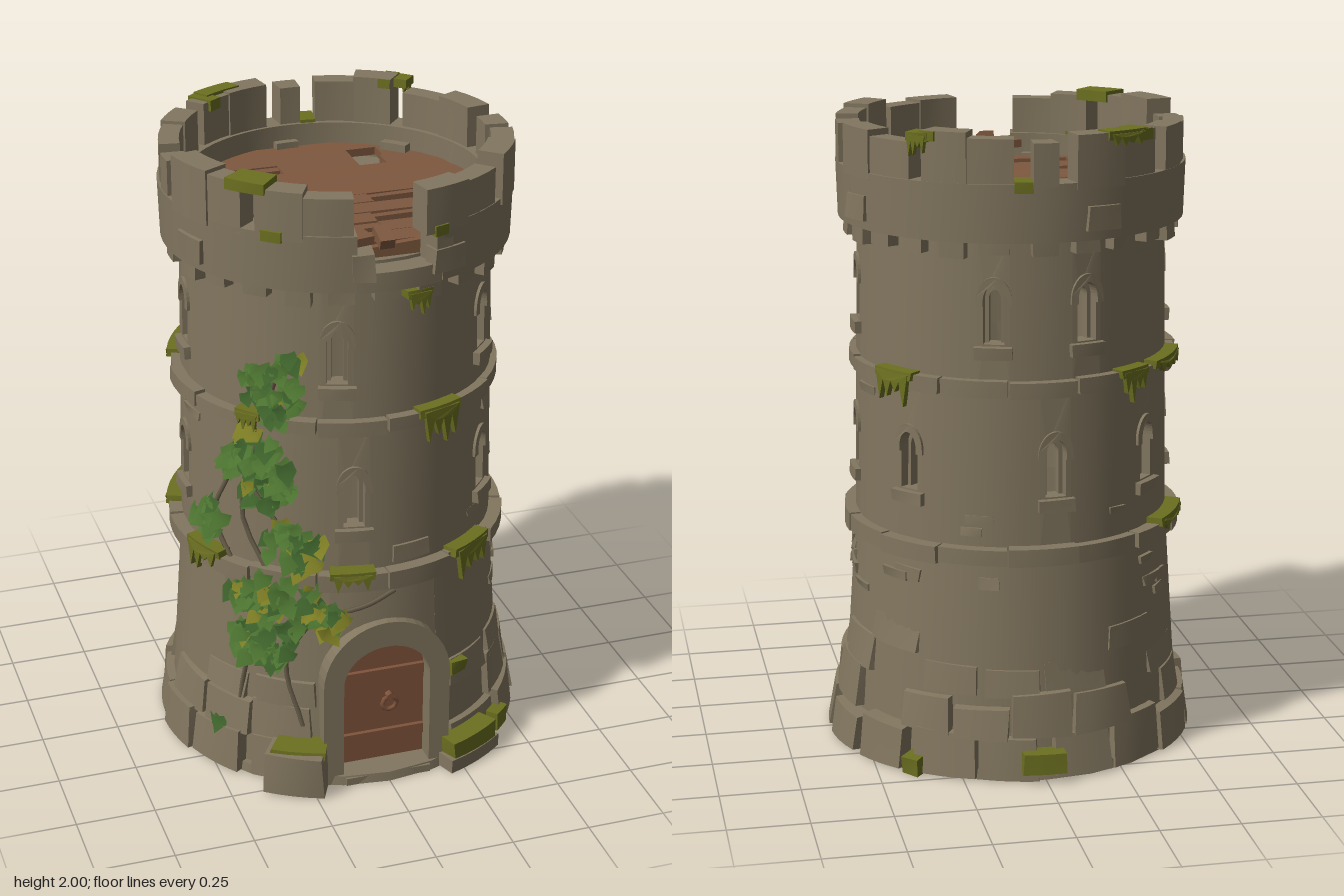
import * as THREE from 'three';

const mat = (name, color, side = THREE.FrontSide) => {
  const m = new THREE.MeshStandardMaterial({ color, side });
  m.name = name;
  return m;
};
const RAD = Math.PI / 180;

export function createModel() {
  const stone = mat('stone', 0x82765f);
  const wood = mat('floor wood', 0x7e583f);
  const doorWood = mat('door wood', 0x80543b);
  const moss = mat('moss', 0x6c7020);
  const vine = mat('vine stem', 0x6a5f4b);
  const leafMats = [mat('leaf green', 0x4c7330, THREE.DoubleSide),
    mat('dark leaf', 0x3c602a, THREE.DoubleSide), mat('yellow leaf', 0x7d7d24, THREE.DoubleSide)];

  const tower = new THREE.Group();
  tower.name = 'tower';
  const groups = {};
  const add = (groupName, name, material, geo) => {
    if (!groups[groupName]) {
      groups[groupName] = new THREE.Group();
      groups[groupName].name = groupName;
      tower.add(groups[groupName]);
    }
    const mesh = new THREE.Mesh(geo, material);
    mesh.name = name;
    groups[groupName].add(mesh);
  };

  let seed = 11;
  const rnd = (a = 0, b = 1) => {
    seed = (seed * 16807) % 2147483647;
    return a + (b - a) * (seed / 2147483647);
  };
  const val = (r, y) => (typeof r === 'function' ? r(y) : r);
  const body = (y) => (y < 0.7 ? 0.545 - 0.068 * y : 0.497 - 0.017 * (y - 0.7));
  const bodyIn = (y) => body(y) - 0.06;

  // Block bent around the tower axis; angles in degrees from +z towards +x.
  // chip narrows the outer face and roughens its corners.
  function bent(a0, a1, y0, y1, rIn, rOut, chip = 0) {
    const g = new THREE.BoxGeometry(1, 1, 1, Math.max(1, Math.ceil((a1 - a0) / 6)), 1, 1);
    const p = g.attributes.position;
    const j = Array.from({ length: 12 }, () => rnd(-1, 1) * chip);
    for (let i = 0; i < p.count; i++) {
      const x = p.getX(i), y = p.getY(i), out = p.getZ(i) > 0, row = y > 0 ? 6 : 0;
      const jit = (n) => (out ? j[row + n] * (0.5 - x) + j[row + 3 + n] * (0.5 + x) : 0);
      const k = out ? 1 - chip : 1;
      const a = ((a0 + a1) / 2 + (x * k + jit(0) * 0.4) * (a1 - a0)) * RAD;
      const yy = Math.max(0, (y0 + y1) / 2 + (y * k + jit(1) * 0.5) * (y1 - y0));
      const r = val(out ? rOut : rIn, yy) + jit(2) * 0.06;
      p.setXYZ(i, r * Math.sin(a), yy, r * Math.cos(a));
    }
    g.computeVertexNormals();
    return g;
  }

  // Extrudes a shape drawn on the unrolled wall and wraps it at angle a
  function wrap(shape, a, z0, z1, rf = body) {
    const g = new THREE.ExtrudeGeometry(shape, { depth: z1 - z0, bevelEnabled: false, curveSegments: 8 });
    const p = g.attributes.position;
    for (let i = 0; i < p.count; i++) {
      const t = a * RAD + p.getX(i) / 0.5, y = p.getY(i), r = val(rf, y) + z0 + p.getZ(i);
      p.setXYZ(i, r * Math.sin(t), y, r * Math.cos(t));
    }
    g.computeVertexNormals();
    return g;
  }
  const arch = (P, w, y0, ys, h) => P.moveTo(-w, y0).lineTo(w, y0).lineTo(w, ys)
    .absellipse(0, ys, w, h, 0, Math.PI, false).lineTo(-w, y0);
  // Arched band, open at the bottom
  const archBand = (w, h, wi, hi, y0, ys) => new THREE.Shape().moveTo(wi, y0).lineTo(w, y0).lineTo(w, ys)
    .absellipse(0, ys, w, h, 0, Math.PI, false).lineTo(-w, y0).lineTo(-wi, y0).lineTo(-wi, ys)
    .absellipse(0, ys, wi, hi, Math.PI, 0, true).lineTo(wi, y0);

  // Wall storey with pierced window panels
  function storey(name, y0, y1, sill, windows) {
    const h = 0.1 / RAD;
    windows.forEach((a, i) => {
      const next = i + 1 < windows.length ? windows[i + 1] : windows[0] + 360;
      add(name, 'wall', stone, bent(a + h, next - h, y0, y1, bodyIn, body));
      [[0.033, 0.13, 0.05, -0.03, 0], [0.02, 0.13, 0.03, -0.06, -0.03]].forEach(([w, s, t, z0, z1]) => {
        const panel = new THREE.Shape().moveTo(-0.05, y0).lineTo(0.05, y0).lineTo(0.05, y1).lineTo(-0.05, y1).lineTo(-0.05, y0);
        panel.holes.push(arch(new THREE.Path(), w, sill, sill + s, t));
        add(name, 'windowPanel', stone, wrap(panel, a, z0, z1));
      });
      add(name, 'windowHood', stone, wrap(archBand(0.056, 0.075, 0.033, 0.05, sill + 0.115, sill + 0.13), a, -0.02, 0.009));
      add(name, 'windowSill', stone, bent(a - 7, a + 7, sill - 0.045, sill - 0.004, 0.44, body(sill) + 0.02, 0.06));
    });
  }
  storey('middleStorey', 0.72, 1.22, 0.885, [-11, 49, 90, 130, 185, 227, 270]);
  storey('upperStorey', 1.22, 1.68, 1.36, [-17, 49, 90, 163, 197, 270]);

  // Lower storey, open at the doorway
  add('lowerStorey', 'wall', stone, bent(20, 340, 0, 0.72, bodyIn, body));
  add('lowerStorey', 'wallOverDoor', stone, bent(-20, 20, 0.46, 0.72, bodyIn, body));
  add('lowerStorey', 'groundSlab', stone, new THREE.CylinderGeometry(0.565, 0.57, 0.03, 24).translate(0, 0.015, 0));

  // Foundation stones, broad and leaning inwards at the foot, sparse higher up
  [[0, 0.15, 0.575, 0.605, 14, 0], [0.13, 0.27, 0.55, 0.575, 15, 0.08], [0.255, 0.38, 0.532, 0.548, 14, 0.25], [0.37, 0.48, 0.522, 0.53, 14, 0.6]]
    .forEach(([y0, y1, ra, rb, n, skip]) => {
      const w = 310 / n;
      for (let i = 0; i < n; i++) {
        const a = 25 + i * w, r = rnd(ra, rb);
        if (rnd() < skip) continue;
        add('foundation', 'foundationStone', stone, bent(a + rnd(-2, 2), a + w + rnd(-2, 2), y0,
          y1 + rnd(-0.04, 0.02), 0.49, (y) => r - 0.14 * (y - y0), 0.1));
      }
    });
  // Corner rocks beside the door
  add('foundation', 'leftRock', stone, bent(-39, -19, 0, 0.15, 0.48, 0.65, 0.15));
  add('foundation', 'leftRockMoss', moss, bent(-37, -20, 0.13, 0.158, 0.5, 0.63, 0.1));
  add('foundation', 'rightRock', stone, bent(18, 40, 0, 0.05, 0.48, 0.63, 0.06));
  add('foundation', 'rightRockMoss', moss, bent(19, 39, 0.03, 0.11, 0.5, 0.63, 0.12));
  [[43, 51, 0.09], [135, 141, 0.06], [172, 186, 0.1]].forEach(([a, b, y]) =>
    add('foundation', 'stoneMoss', moss, bent(a, b, y - 0.07, y, 0.55, 0.608, 0.1)));

  // Shallow raised bricks scattered on the walls
  for (let i = 0; i < 26; i++) {
    const a = rnd(28, 325), y = i < 18 ? rnd(0.46, 0.64) : rnd(0.76, 0.82) + (i % 2) * 0.36, w = rnd(7, 14);
    add('wallBricks', 'brick', stone, bent(a, a + w, y, y + rnd(0.025, 0.045), 0.45, body(y) + 0.005, 0.1));
  }
  add('wallBricks', 'brickOverDoor', stone, bent(2, 18, 0.75, 0.81, 0.45, 0.504, 0.1));

  // String courses made of long slabs
  [[0.68, 0.735, 0.53], [1.203, 1.248, 0.515]].forEach(([y0, y1, r]) => {
    for (let i = 0; i < 15; i++) {
      add('stringCourses', 'slab', stone,
        bent(i * 24 + 0.3, i * 24 + 24, y0 + rnd(-0.005, 0.005), y1 + rnd(-0.005, 0.006), 0.45, r + rnd(-0.008, 0.01), 0.02));
    }
  });

  // Doorway: arch, step, door and its fittings
  const flat = (shape, z0, z1) => new THREE.ExtrudeGeometry(shape, { depth: z1 - z0, bevelEnabled: false, curveSegments: 10 }).translate(0, 0, z0);
  add('doorway', 'doorArch', stone, flat(archBand(0.208, 0.21, 0.142, 0.125, 0, 0.35), 0.42, 0.535));
  add('doorway', 'doorStep', stone, new THREE.BoxGeometry(0.28, 0.025, 0.12).translate(0, 0.0125, 0.497));
  add('doorway', 'door', doorWood, flat(arch(new THREE.Shape(), 0.144, 0.02, 0.35, 0.126), 0.45, 0.472));
  for (const y of [0.12, 0.345]) {
    add('doorway', 'doorBand', doorWood, new THREE.BoxGeometry(0.278, 0.035, 0.016).translate(0, y, 0.478));
  }
  add('doorway', 'doorRing', doorWood, new THREE.TorusGeometry(0.024, 0.008, 5, 8).translate(0.025, 0.235, 0.484));
  add('doorway', 'doorRingBoss', doorWood, new THREE.CylinderGeometry(0.012, 0.014, 0.02, 6).rotateX(Math.PI / 2).translate(0.025, 0.262, 0.485));

  // Parapet: corbels, breast wall with a breach at the front, merlons
  for (let i = 0; i < 24; i++) {
    const a = i * 15 + rnd(-1, 1);
    add('parapet', 'corbel', stone, bent(a - 4.5, a + 4.5, 1.63 + rnd(-0.012, 0.008), 1.7, 0.44, 0.522, 0.05));
  }
  add('parapet', 'breastWall', stone, bent(18, 349, 1.675, 1.85, 0.455, (y) => 0.538 + (y - 1.68) * 0.03));
  add('parapet', 'breachedWall', stone, bent(-11, 18, 1.67, 1.73, 0.455, 0.535));
  add('parapet', 'breachStone', stone, bent(-13, -5, 1.7, 1.8, 0.46, 0.55, 0.12));
  add('parapet', 'breachStone', stone, bent(15, 22, 1.7, 1.845, 0.46, 0.545, 0.1));
  [[11, 43, 1.97], [47, 77, 1.99], [83, 93, 1.97], [100, 135, 1.98], [140, 170, 2], [176, 184, 1.97],
    [190, 222, 1.99], [228, 262, 1.98], [267, 275, 1.96], [281, 312, 2], [317, 348, 1.98]].forEach(([a, b, top], i) => {
    const m = a + (b - a) * rnd(0.4, 0.6);
    const r = rnd(0.538, 0.546);
    if (b - a < 15) add('parapet', 'narrowMerlon', stone, bent(a, b, 1.84, top, 0.468, r));
    else {
      add('parapet', 'merlon', stone, bent(a, m, 1.83, top, 0.466, r + 0.004));
      add('parapet', 'merlon', stone, bent(m, b, 1.83, top - rnd(0, 0.02), 0.472, r - 0.003));
    }
    if (i % 3 === 0) add('parapet', 'facingStone', stone, bent(a + 3, a + 16, 1.7, 1.78, 0.5, 0.55, 0.08));
  });

  // Roof deck of broken planks over a stone bed
  add('deck', 'deckBed', stone, new THREE.CylinderGeometry(0.462, 0.462, 0.05, 40).translate(0, 1.715, 0));
  const holes = { 1: [[0.15, 0.25]], 2: [[-0.28, -0.1], [0.15, 0.24]], 6: [[0.09, 0.33]], 8: [[0.05, 0.36]], 7: [[-0.4, -0.14]], 9: [[-0.25, 0.05]] };
  const slim = { 2: 0.035, 7: 0.05, 9: 0.04 };
  for (let i = 0; i < 11; i++) {
    const z = -0.4 + i * 0.078, half = Math.sqrt(0.49 ** 2 - z * z);
    let x = -half;
    [...(holes[i] || []), [half, 0]].forEach(([e, resume]) => {
      add('deck', 'plank', wood, new THREE.BoxGeometry(e - x, 0.026, 0.0765).rotateY(rnd(-0.008, 0.008))
        .rotateX(rnd(-0.06, 0.06)).translate((x + e) / 2, 1.768, z));
      x = resume;
    });
    // Splinters left along the gaps
    (holes[i] || []).forEach(([a, b]) => {
      if (b - a < 0.12) return;
      const w = slim[i] || 0.025;
      add('deck', 'splinter', wood, new THREE.BoxGeometry(b - a + 0.02, 0.018, w)
        .rotateY(0.04).translate((a + b) / 2, 1.767, z - 0.039 + w / 2));
    });
  }
  add('deck', 'breachBeam', wood, new THREE.BoxGeometry(0.23, 0.045, 0.03).rotateZ(0.06).translate(0.06, 1.755, 0.425));
  add('deck', 'loosePlank', wood, new THREE.BoxGeometry(0.06, 0.025, 0.1).rotateY(0.2).translate(-0.08, 1.82, 0.455));
  add('deck', 'loosePlank', wood, new THREE.BoxGeometry(0.045, 0.03, 0.075).rotateX(0.3).translate(-0.015, 1.83, 0.505));
  // Rubble along the inner foot of the parapet
  [[-28, -16], [20, 32], [50, 58], [263, 275], [130, 142], [178, 188]].forEach(([a, b]) =>
    add('deck', 'rubble', stone, bent(a, b, 1.74, rnd(1.79, 1.82), rnd(0.4, 0.425), 0.47, 0.05)));

  // Moss: caps on ledges with ragged hanging fringes
  function mossPatch(a, w, y, r, drop) {
    add('mossPatches', 'mossCap', moss, bent(a - w, a + w, y - 0.018, y + 0.01, r - 0.05, r + 0.008, 0.06));
    const hw = w * RAD * 0.5 * 0.8, n = 4;
    const s = new THREE.Shape().moveTo(-hw, y);
    for (let i = 0; i < n; i++) {
      s.lineTo(-hw + ((i + 0.5) * 2 * hw) / n, y - drop * rnd(0.4, 1));
      s.lineTo(-hw + ((i + 1) * 2 * hw) / n, y - (i < n - 1 ? drop * 0.25 : 0));
    }
    add('mossPatches', 'mossFringe', moss, wrap(s, a, -0.006, 0.012, r));
  }
  [[-68, 9, 0.1], [-12, 8, 0.06], [35, 10, 0.11], [242, 14, 0.05]].forEach(([a, w, d]) => mossPatch(a, w, 0.742, 0.537, d));
  [[-48, 5, 0.07], [20, 9, 0.12], [126, 9, 0.1], [215, 7, 0.1], [240, 14, 0.04]].forEach(([a, w, d]) => mossPatch(a, w, 1.252, 0.522, d));
  mossPatch(11, 5, 1.645, 0.515, 0.09);
  mossPatch(139, 4, 1.985, 0.547, 0.07);
  mossPatch(208, 8, 1.985, 0.545, 0.04);
  [[-53, -39, 1.995], [140, 145, 2], [213, 219, 1.985], [-41, -34, 1.855], [14, 19, 1.85], [170, 176, 1.855]]
    .forEach(([a, b, y]) => add('mossPatches', 'merlonMoss', moss, bent(a, b, y - 0.03, Math.min(2, y + 0.005), 0.462, 0.553, 0.04)));
  add('mossPatches', 'doorSideMoss', moss, bent(24, 32, 0.3, 0.35, 0.5, 0.553, 0.15));

  // Ivy: stems on the wall and folded leaves in clusters
  const onWall = (x, y, off) => {
    const r = body(y) + off, t = Math.asin(Math.max(-1, x / r));
    return new THREE.Vector3(r * Math.sin(t), y, r * Math.cos(t));
  };
  [[[-0.44, 0.1], [-0.4, 0.4], [-0.32, 0.62], [-0.4, 0.9], [-0.36, 1.15], [-0.3, 1.42]],
    [[-0.26, 0.2], [-0.3, 0.42], [-0.22, 0.6], [-0.28, 0.82], [-0.38, 1.0]],
    [[-0.34, 0.5], [-0.2, 0.58], [-0.06, 0.62], [0.03, 0.66]],
    [[-0.4, 0.65], [-0.46, 0.85], [-0.43, 1.0]]].forEach((pts) => add('ivy', 'stem', vine,
    new THREE.TubeGeometry(new THREE.CatmullRomCurve3(pts.map(([x, y]) => onWall(x, y, 0.012))), 20, 0.008, 5)));
  const leaf = new THREE.ShapeGeometry(new THREE.Shape().moveTo(0, 0.012).lineTo(0.022, 0.018).lineTo(0.026, -0.008)
    .lineTo(0, -0.042).lineTo(-0.026, -0.008).lineTo(-0.022, 0.018));
  for (let i = 0, p = leaf.attributes.position; i < p.count; i++) p.setZ(i, -Math.abs(p.getX(i)) * 0.4);
  leaf.computeVertexNormals();
  // Cluster: centre x, y, half width, half height, leaf count, chance of yellow
  [[-0.33, 1.34, 0.07, 0.09, 36, 0.03], [-0.39, 1.21, 0.03, 0.03, 6, 0.6], [-0.36, 1.07, 0.08, 0.12, 46, 0.04],
    [-0.28, 0.82, 0.07, 0.08, 28, 0.3], [-0.485, 0.86, 0.025, 0.06, 14, 0.1], [-0.31, 0.63, 0.13, 0.1, 64, 0.08],
    [-0.2, 0.6, 0.06, 0.05, 22, 0.65], [-0.37, 0.48, 0.08, 0.06, 40, 0.03], [-0.48, 0.19, 0.02, 0.03, 4, 0.1],
    [-0.28, 1.45, 0.02, 0.02, 4, 0.3]].forEach(([cx, cy, w, h, n, yellow]) => {
    for (let i = 0; i < n; i++) {
      const t = rnd(0, Math.PI * 2), d = Math.sqrt(rnd()), y = cy + h * d * Math.sin(t);
      const v = onWall(cx + w * d * Math.cos(t), y, rnd(0.018, 0.06)), s = rnd(0.85, 1.35);
      const g = leaf.clone().scale(s, s, s).rotateZ(rnd(-0.7, 0.7)).rotateX(-rnd(0.15, 0.7))
        .rotateY(Math.atan2(v.x, v.z) + rnd(-0.3, 0.3)).translate(v.x, v.y, v.z);
      add('ivy', 'leaf', leafMats[rnd() < yellow ? 2 : rnd() < 0.3 ? 1 : 0], g);
    }
  });
  return tower;
}
